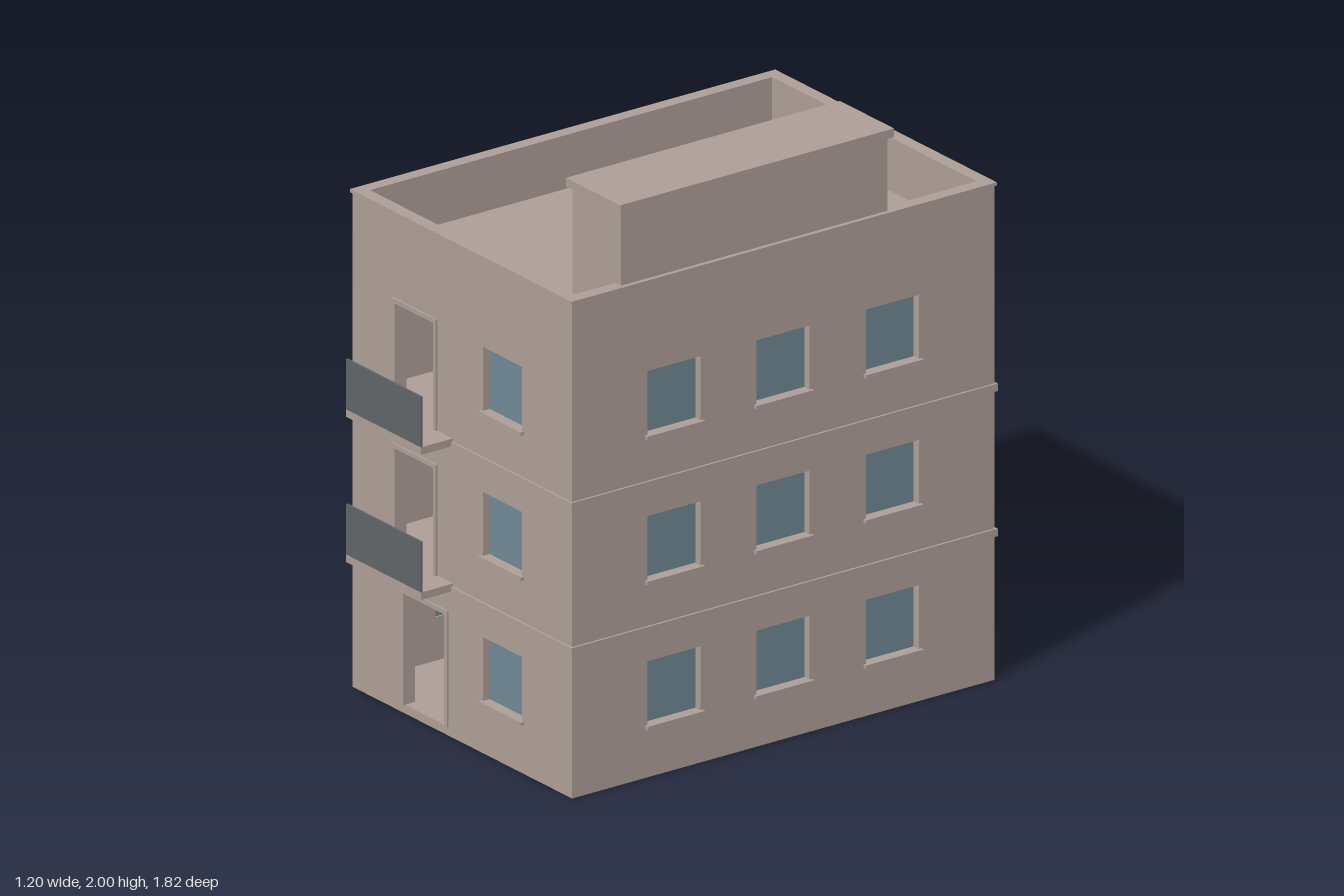
import * as THREE from 'three';

const WALL = new THREE.MeshStandardMaterial({ name: 'plaster', color: 0xae9f97 });
const GLASS = new THREE.MeshStandardMaterial({ name: 'windowGlass', color: 0x708894 });
const RAIL = new THREE.MeshStandardMaterial({ name: 'railingGrey', color: 0x616569 });

// Building footprint, wall thickness and storey height
const X = 0.587, Z0 = -0.895, Z1 = 0.783, T = 0.04, H = 1.71, STOREY = 0.5;
const ZC = (Z0 + Z1) / 2, DEPTH = Z1 - Z0;

function add(parent, name, geometry, material) {
  const mesh = new THREE.Mesh(geometry, material);
  mesh.name = name;
  parent.add(mesh);
  return mesh;
}

// Box given by its lower and upper limits
function box(parent, name, x0, x1, y0, y1, z0, z1, material = WALL) {
  const mesh = add(parent, name, new THREE.BoxGeometry(x1 - x0, y1 - y0, z1 - z0), material);
  mesh.position.set((x0 + x1) / 2, (y0 + y1) / 2, (z0 + z1) / 2);
  return mesh;
}

function rectangle(target, x0, x1, y0, y1) {
  target.moveTo(x0, y0);
  target.lineTo(x1, y0);
  target.lineTo(x1, y1);
  target.lineTo(x0, y1);
  target.closePath();
  return target;
}

// Horizontal ring around the building
function ring(parent, name, outset, inset, y0, y1) {
  const a = X + outset, b = DEPTH / 2 + outset, c = X - inset, d = DEPTH / 2 - inset;
  const shape = rectangle(new THREE.Shape(), -a, a, -b, b);
  shape.holes.push(rectangle(new THREE.Path(), -c, c, -d, d));
  const geometry = new THREE.ExtrudeGeometry(shape, { depth: y1 - y0, bevelEnabled: false });
  geometry.rotateX(-Math.PI / 2);
  add(parent, name, geometry, WALL).position.set(0, y0, ZC);
}

// One wall with its openings; local +z points outwards
function facade(parent, name, width, x, z, angle, windows, doors) {
  const group = new THREE.Group();
  group.name = name;
  group.position.set(x, 0, z);
  group.rotation.y = angle;
  parent.add(group);

  const shape = rectangle(new THREE.Shape(), -width / 2, width / 2, 0, H);
  for (const [u, floor] of windows) {
    const y = floor * STOREY + 0.18;
    shape.holes.push(rectangle(new THREE.Path(), u - 0.105, u + 0.105, y, y + 0.22));
    box(group, 'windowPane', u - 0.105, u + 0.105, y, y + 0.22, -0.035, -0.027, GLASS);
    box(group, 'windowSill', u - 0.115, u + 0.115, y - 0.012, y, -0.005, 0.013);
  }
  for (const [u0, u1, y0, y1] of doors) {
    shape.holes.push(rectangle(new THREE.Path(), u0, u1, y0, y1));
    box(group, 'doorJamb', u0 - 0.015, u0, y0, y1, -0.002, 0.007);
    box(group, 'doorJamb', u1, u1 + 0.015, y0, y1, -0.002, 0.007);
    box(group, 'doorLintel', u0 - 0.015, u1 + 0.015, y1, y1 + 0.015, -0.002, 0.007);
  }
  const geometry = new THREE.ExtrudeGeometry(shape, { depth: T, bevelEnabled: false });
  geometry.translate(0, 0, -T);
  add(group, 'wall', geometry, WALL);
}

export function createModel() {
  const model = new THREE.Group();
  model.name = 'apartmentBuilding';
  const floors = [0, 1, 2];

  // Four walls
  const balconyDoors = [1, 2].map(f => [-0.353, -0.148, f * STOREY + 0.03, f * STOREY + 0.4]);
  const frontWindows = floors.map(f => [0.215, f]);
  const backWindows = [...floors.map(f => [-0.215, f]), [0.215, 1], [0.215, 2]];
  const sideWindows = floors.flatMap(f => [-0.434, 0, 0.434].map(u => [u, f]));
  facade(model, 'frontWall', 2 * X, 0, Z1, 0, frontWindows, [[-0.307, -0.088, 0.03, 0.415], ...balconyDoors]);
  facade(model, 'backWall', 2 * X, 0, Z0, Math.PI, backWindows, [[0.088, 0.307, 0.03, 0.415]]);
  for (const s of [-1, 1]) {
    facade(model, s > 0 ? 'leftWall' : 'rightWall', DEPTH - 2 * T, s * X, ZC, s * Math.PI / 2, sideWindows, []);
  }

  // Floor slabs and roof deck
  for (const f of [0, 1, 2, 3]) {
    box(model, f === 3 ? 'roofDeck' : 'floorSlab', -X + T, X - T, f * STOREY, f * STOREY + 0.03, Z0 + T, Z1 - T);
  }

  // Storey bands and parapet coping
  for (const f of [1, 2]) ring(model, 'storeyBand', 0.008, 0.002, f * STOREY - 0.004, f * STOREY + 0.022);
  ring(model, 'parapetCoping', 0.006, T, H - 0.006, H + 0.005);

  // Balconies
  for (const f of [1, 2]) {
    const y = f * STOREY + 0.006;
    box(model, 'balconySlab', -0.45, -0.05, y, y + 0.026, Z1 - 0.002, 0.91);
    box(model, 'balconyRailing', -0.45, -0.05, y + 0.026, y + 0.2, 0.903, 0.91, RAIL);
  }

  // Roof stair house, open at the back
  const house = new THREE.Group();
  house.name = 'stairHouse';
  model.add(house);
  const x0 = 0.317, x1 = 0.577, z0 = -0.478, z1 = 0.58, base = 1.53, top = 1.97, t = 0.03;
  box(house, 'innerSideWall', x0, x0 + t, base, top, z0, z1);
  box(house, 'outerSideWall', x1 - t, x1, base, top, z0, z1);
  box(house, 'frontEndWall', x0 + t, x1 - t, base, top, z1 - t, z1);
  box(house, 'doorHeader', x0 + t, x1 - t, top - 0.06, top, z0, z0 + t);
  box(house, 'stairHouseRoof', x0 - 0.015, x1 + 0.015, top, 2, z0 - 0.015, z1 + 0.015);

  return model;
}
